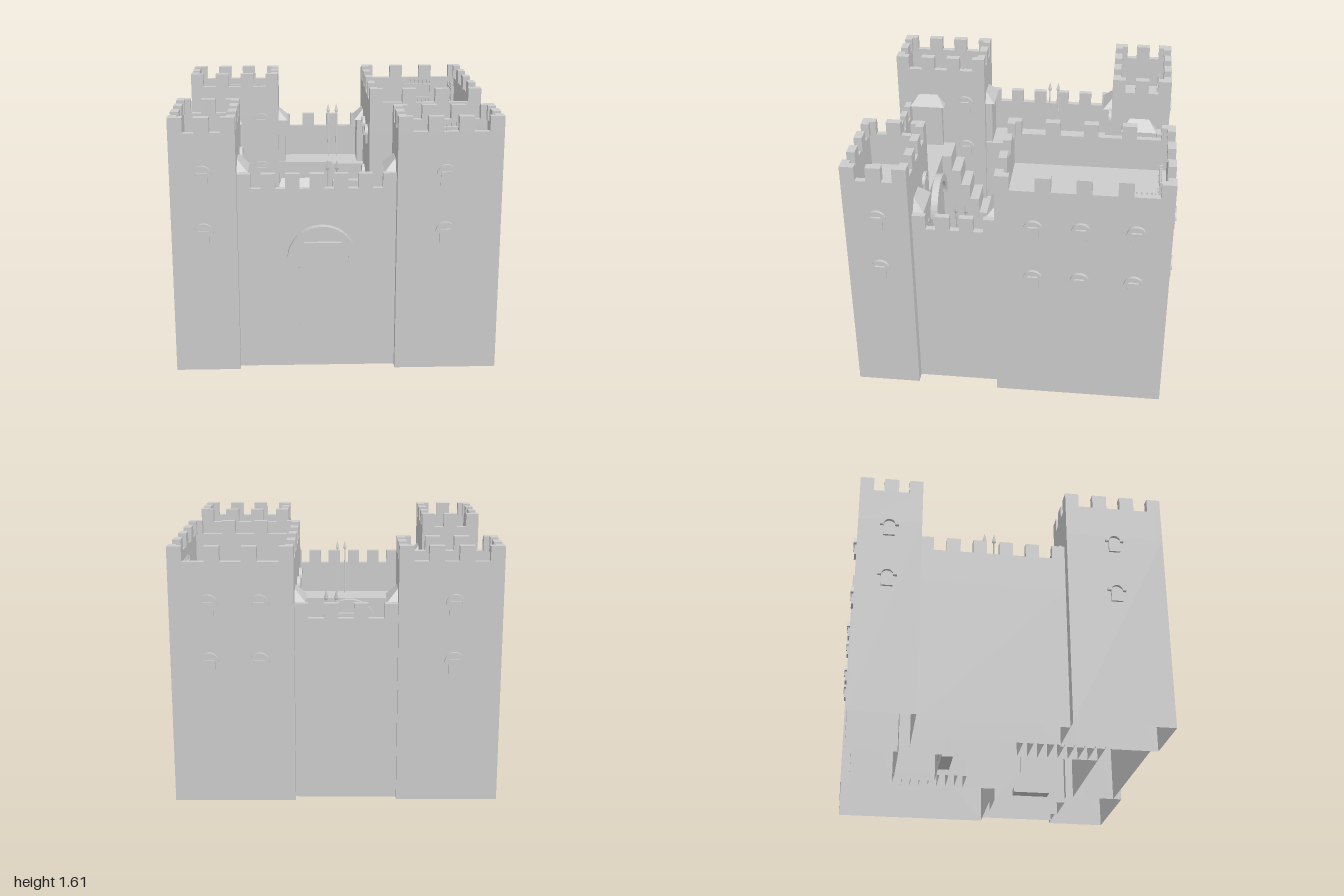
import * as THREE from 'three';
import { ConvexGeometry } from 'three/addons/geometries/ConvexGeometry.js';

const BASE = 0.04, WALK = 0.95, FLOOR = 1.31, RIM = 1.52, T = 0.04;
const TURN = { front: 0, right: Math.PI / 2, back: Math.PI, left: -Math.PI / 2 };

export function createModel() {
  const root = new THREE.Group();
  const mat = new THREE.MeshStandardMaterial({ color: 0xcccccc, flatShading: true, side: THREE.DoubleSide });

  const group = (name, parent = root) => {
    const g = new THREE.Group();
    g.name = name;
    parent.add(g);
    return g;
  };
  const mesh = (parent, name, geo) => {
    const m = new THREE.Mesh(geo, mat);
    m.name = name;
    parent.add(m);
    return m;
  };
  // Box given by its limits
  const box = (parent, name, x0, x1, y0, y1, z0, z1) => {
    const m = mesh(parent, name, new THREE.BoxGeometry(x1 - x0, y1 - y0, z1 - z0));
    m.position.set((x0 + x1) / 2, (y0 + y1) / 2, (z0 + z1) / 2);
    return m;
  };
  // Hollow building shell: a box without its underside
  const shell = (...args) => {
    const geo = box(...args).geometry;
    geo.setIndex(Array.from(geo.index.array).filter((_, i) => i < 18 || i >= 24));
    geo.clearGroups();
  };
  // Group on one side of a rectangle, with its local +z pointing outwards
  const onSide = (parent, name, r, side, u, y = 0) => {
    const g = group(name, parent);
    if (side === 'front') g.position.set(u, y, r.z1);
    if (side === 'back') g.position.set(u, y, r.z0);
    if (side === 'right') g.position.set(r.x1, y, u);
    if (side === 'left') g.position.set(r.x0, y, u);
    g.rotation.y = TURN[side];
    return g;
  };
  // Strip of the given thickness along one side of a rectangle
  const strip = (r, side, t) => ({
    x0: side === 'right' ? r.x1 - t : r.x0,
    x1: side === 'left' ? r.x0 + t : r.x1,
    z0: side === 'front' ? r.z1 - t : r.z0,
    z1: side === 'back' ? r.z0 + t : r.z1,
  });

  // Half ring, used above windows and the gate
  const arch = (parent, rOut, rIn, depth) => {
    const s = new THREE.Shape();
    s.absarc(0, 0, rOut, 0, Math.PI, false);
    s.absarc(0, 0, rIn, Math.PI, 0, true);
    s.closePath();
    return mesh(parent, 'arch', new THREE.ExtrudeGeometry(s, { depth, bevelEnabled: false, curveSegments: 10 }));
  };
  const windowAt = (parent, r, side, u, y) => {
    const g = onSide(parent, 'window', r, side, u, y);
    arch(g, 0.058, 0.036, 0.02);
    box(g, 'windowPanel', -0.035, 0.035, -0.07, 0.012, -0.01, 0.014);
  };

  // Hipped lean-to roof: the ridge lies on the wall at z = 0
  const leanRoof = (parent, w, ridge, depth, h, y) => {
    const p = [[-w / 2, 0, 0], [w / 2, 0, 0], [-w / 2, 0, depth], [w / 2, 0, depth], [-ridge / 2, h, 0], [ridge / 2, h, 0]];
    const m = mesh(parent, 'leanToRoof', new ConvexGeometry(p.map(v => new THREE.Vector3(...v))));
    m.position.y = y;
  };

  // Row of evenly spaced merlons along one side
  const merlons = (parent, r, side, n, y, t, mid, end) => {
    const s = strip(r, side, t);
    const alongX = side === 'front' || side === 'back';
    const [a, b] = alongX ? [r.x0, r.x1] : [r.z0, r.z1];
    for (let i = 0; i < n; i++) {
      const c = a + end / 2 + (b - a - end) * i / (n - 1);
      const half = (i === 0 || i === n - 1 ? end : mid) / 2;
      if (alongX) box(parent, 'merlon', c - half, c + half, y, y + 0.09, s.z0, s.z1);
      else box(parent, 'merlon', s.x0, s.x1, y, y + 0.09, c - half, c + half);
    }
  };

  // Spear with a flat leaf-shaped head, leaning on the parapet
  const spear = (parent, len) => {
    const g = group('spear', parent);
    g.position.z = -0.09;
    g.rotation.x = 0.14;
    const shaft = mesh(g, 'spearShaft', new THREE.CylinderGeometry(0.005, 0.005, len, 6));
    shaft.position.y = len / 2;
    const pts = [[0, 0], [0.016, 0.022], [0, 0.075]].map(p => new THREE.Vector2(...p));
    const head = mesh(g, 'spearHead', new THREE.LatheGeometry(pts, 6));
    head.position.y = len - 0.01;
    head.scale.z = 0.35;
  };

  // Weapon rack: two posts, two rails and a row of thin blades
  const rack = (parent, x, z, turned) => {
    const g = group('weaponRack', parent);
    g.position.set(x, FLOOR, z);
    if (turned) g.rotation.y = Math.PI / 2;
    for (const s of [-1, 1]) box(g, 'rackPost', s * 0.1 - 0.006, s * 0.1 + 0.006, 0, 0.19, -0.01, 0.01);
    for (const y of [0.06, 0.16]) box(g, 'rackRail', -0.105, 0.105, y, y + 0.012, -0.01, 0.01);
    for (let i = 0; i < 6; i++) {
      const bx = -0.075 + i * 0.03;
      box(g, 'blade', bx - 0.004, bx + 0.004, 0.02, 0.2, -0.004, 0.004);
    }
  };

  // Towers: body, parapet, merlons, windows and racks
  const towers = [
    { name: 'backRightTower', x0: -0.98, x1: -0.367, z0: -0.95, z1: -0.56, nx: 4, nz: 3,
      windows: [['back', -0.7], ['left', -0.76], ['front', -0.49]], racks: [[-0.625, -0.87, false]] },
    { name: 'keep', x0: 0.247, x1: 0.98, z0: -0.968, z1: 0.065, nx: 4, nz: 5,
      windows: [['back', 0.45], ['back', 0.75], ['right', -0.16], ['right', -0.44], ['right', -0.76],
        ['left', -0.16], ['left', -0.44], ['front', 0.46]],
      racks: [[0.66, -0.885, false], [0.895, -0.76, true]] },
    { name: 'frontRightTower', x0: -0.98, x1: -0.592, z0: 0.34, z1: 0.955, nx: 3, nz: 4,
      windows: [['front', -0.79], ['left', 0.64], ['right', 0.48]], racks: [[-0.67, 0.585, true]] },
    { name: 'frontLeftTower', x0: 0.352, x1: 0.97, z0: 0.572, z1: 0.963, nx: 4, nz: 3,
      windows: [['front', 0.64], ['right', 0.765], ['back', 0.5]], racks: [[0.665, 0.645, false]] },
  ];
  for (const t of towers) {
    const g = group(t.name);
    shell(g, 'towerBody', t.x0, t.x1, BASE, FLOOR, t.z0, t.z1);
    for (const side of ['front', 'back', 'left', 'right']) {
      const s = strip(t, side, T);
      const alongX = side === 'front' || side === 'back';
      const inset = alongX ? 0 : T;
      shell(g, 'parapet', s.x0, s.x1, FLOOR, RIM, s.z0 + inset, s.z1 - inset);
      merlons(g, t, side, alongX ? t.nx : t.nz, RIM, 0.05, 0.09, 0.085);
    }
    for (const [side, u] of t.windows) for (const y of [0.92, 1.27]) windowAt(g, t, side, u, y);
    for (const r of t.racks) rack(g, ...r);
  }

  // Curtain walls with a walkway and an outer parapet
  const walls = [
    { name: 'frontWall', side: 'front', x0: -0.592, x1: 0.352, z0: 0.622, z1: 0.905, n: 7, spears: [-0.055, 0] },
    { name: 'backWall', side: 'back', x0: -0.367, x1: 0.247, z0: -0.91, z1: -0.628, n: 4, spears: [0, 0.06] },
    { name: 'rightWall', side: 'left', x0: -0.905, x1: -0.622, z0: -0.56, z1: 0.34, n: 6, spears: [-0.16, -0.1] },
    { name: 'leftWall', side: 'right', x0: 0.62, x1: 0.9, z0: 0.065, z1: 0.572, n: 4, spears: [0.25, 0.31] },
  ];
  for (const w of walls) {
    const g = group(w.name);
    shell(g, 'wallBody', w.x0, w.x1, BASE, WALK, w.z0, w.z1);
    const p = strip(w, w.side, T);
    shell(g, 'wallParapet', p.x0, p.x1, WALK, 1.17, p.z0, p.z1);
    merlons(g, w, w.side, w.n, 1.17, T, 0.085, 0.08);
    for (const u of w.spears) spear(onSide(g, 'spearStand', w, w.side, u, WALK), 0.325);
    // Roofed doorways where the walkway meets the towers
    const alongX = w.side === 'front' || w.side === 'back';
    const mid = alongX ? (w.z0 + w.z1 + (w.side === 'front' ? -T : T)) / 2
      : (w.x0 + w.x1 + (w.side === 'right' ? -T : T)) / 2;
    for (const end of alongX ? ['left', 'right'] : ['back', 'front']) {
      const d = onSide(g, 'doorway', w, end, mid, WALK);
      d.rotation.y += Math.PI;
      box(d, 'doorBlock', -0.1, 0.1, 0, 0.31, 0, 0.045);
      leanRoof(d, 0.24, 0.13, 0.065, 0.07, 0.31);
    }
  }

  // Gate on both faces of the front wall
  for (const side of ['front', 'back']) {
    const g = onSide(root, 'gate', walls[0], side, -0.09);
    arch(g, 0.208, 0.157, 0.047).position.y = 0.74;
    box(g, 'gateDoor', -0.135, 0.135, 0.32, 0.84, -0.01, 0.025);
  }

  // Stairs climbing from z0 to z1 up to the walkway
  const stairs = (x0, x1, z0, z1) => {
    const g = group('stairs'), n = 8, d = (z1 - z0) / n;
    for (let i = 0; i < n; i++) {
      const a = z0 + i * d, b = a + d;
      shell(g, 'step', x0, x1, BASE, BASE + (WALK - BASE) * (i + 1) / n, Math.min(a, b), Math.max(a, b));
    }
  };
  stairs(-0.622, -0.385, 0.11, 0.622);
  stairs(0.02, 0.247, -0.155, -0.628);

  // Lean-to houses in the courtyard
  const house = (name, wall, side, u) => {
    const g = onSide(root, name, wall, side, u);
    shell(g, 'houseBody', -0.242, 0.242, 0, 0.52, 0, 0.265);
    leanRoof(g, 0.53, 0.26, 0.295, 0.31, 0.52);
    box(g, 'doorStep', -0.12, 0.12, 0.035, 0.07, 0.265, 0.345);
    box(g, 'houseDoor', -0.06, 0.06, 0.07, 0.36, 0.26, 0.275);
  };
  house('backHouse', walls[1], 'front', -0.22);
  house('sideHouse', walls[3], 'left', 0.32);

  return root;
}
